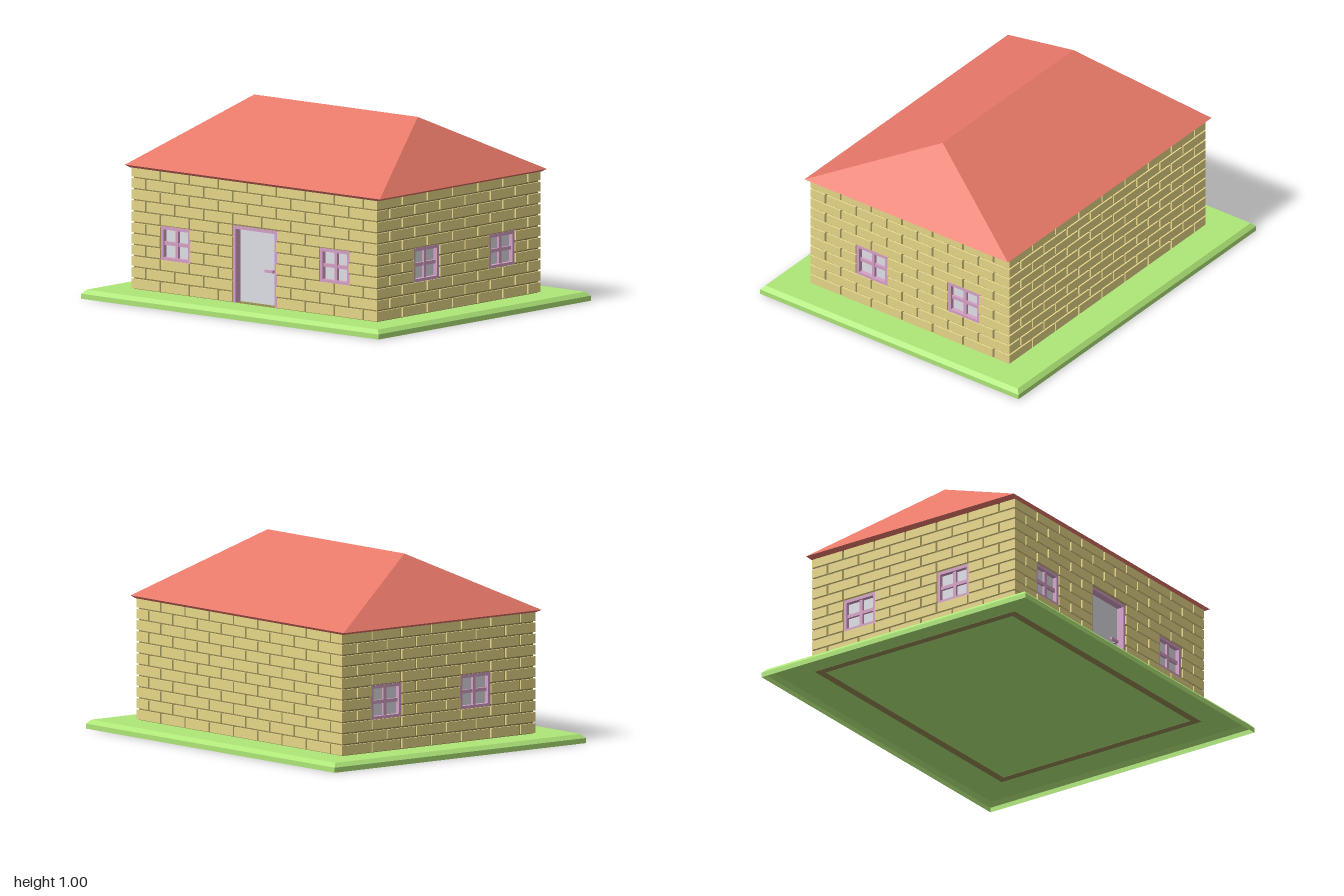
import * as THREE from 'three';
import { mergeGeometries } from 'three/addons/utils/BufferGeometryUtils.js';

const mat = (name, color) => {
  const m = new THREE.MeshStandardMaterial({ color });
  m.name = name;
  return m;
};

// Flat-sided shape through rectangular sections [halfX, halfZ, y], with a top and an optional bottom
function loft(sections, closedBottom) {
  const rings = sections.map(([x, z, y]) =>
    [[-x, y, z], [x, y, z], [x, y, -z], [-x, y, -z]]);
  const pos = [];
  const quad = (a, b, c, d) => pos.push(...a, ...b, ...c, ...a, ...c, ...d);
  for (let i = 0; i < rings.length - 1; i++) {
    for (let k = 0; k < 4; k++) {
      const n = (k + 1) % 4;
      quad(rings[i][k], rings[i][n], rings[i + 1][n], rings[i + 1][k]);
    }
  }
  const lo = rings[0], hi = rings[rings.length - 1];
  if (closedBottom) quad(lo[3], lo[2], lo[1], lo[0]);
  quad(hi[0], hi[1], hi[2], hi[3]);
  const g = new THREE.BufferGeometry();
  g.setAttribute('position', new THREE.Float32BufferAttribute(pos, 3));
  g.computeVertexNormals();
  return g;
}

// Box from its x, y and z ranges
const span = (x0, x1, y0, y1, z0, z1) =>
  new THREE.BoxGeometry(x1 - x0, y1 - y0, z1 - z0)
    .translate((x0 + x1) / 2, (y0 + y1) / 2, (z0 + z1) / 2);

const BASE = 0.047, ROWS = 11, ROW = 0.0575, BRICK = 0.195, GAP = 0.011;
const HALF_X = 0.827, HALF_Z = 0.635;
const windowAt = x => ({ kind: 'window', x0: x - 0.1, x1: x + 0.1, y0: 0.214, y1: 0.391 });
const doorway = { kind: 'door', x0: -0.15, x1: 0.147, y0: BASE, y1: 0.445 };

// Running-bond bricks, cut short where they meet an opening
function brickGeometry(half, openings) {
  const parts = [];
  for (let r = 0; r < ROWS; r++) {
    const y0 = BASE + r * ROW + GAP * 0.4, y1 = BASE + (r + 1) * ROW - GAP * 0.4;
    const cuts = openings.filter(o => Math.min(o.y1, y1) - Math.max(o.y0, y0) > 0.015);
    for (let x = -half - (r % 2 ? BRICK / 2 : 0); x < half; x += BRICK) {
      const left = x <= -half ? -half : x + GAP / 2;
      const right = x + BRICK >= half ? half : x + BRICK - GAP / 2;
      let pieces = [[left, right]];
      for (const o of cuts) {
        pieces = pieces.flatMap(([a, b]) => (b <= o.x0 || a >= o.x1)
          ? [[a, b]] : [[a, o.x0], [o.x1, b]]);
      }
      for (const [a, b] of pieces) {
        if (b - a > 0.006) parts.push(span(a, b, y0, y1, -0.022, 0));
      }
    }
  }
  return mergeGeometries(parts);
}

// Recessed backing wall with holes for the openings
function mortarGeometry(half, openings) {
  const rect = (S, x0, x1, y0, y1) => new S([[x0, y0], [x1, y0], [x1, y1], [x0, y1]]
    .map(p => new THREE.Vector2(...p)));
  const shape = rect(THREE.Shape, -half + 0.01, half - 0.01, 0.046, 0.68);
  for (const o of openings) {
    shape.holes.push(rect(THREE.Path, o.x0, o.x1, Math.max(o.y0, 0.05), o.y1));
  }
  return new THREE.ExtrudeGeometry(shape, { depth: 0.04, bevelEnabled: false }).translate(0, 0, -0.05);
}

// Surround of an opening; doors have no sill
function frameGeometry({ kind, x0, x1, y0, y1 }) {
  const t = 0.017, back = -0.06, front = -0.007;
  const parts = [
    span(x0, x0 + t, y0, y1, back, front),
    span(x1 - t, x1, y0, y1, back, front),
    span(x0 + t, x1 - t, y1 - t, y1, back, front),
  ];
  if (kind === 'window') {
    const cx = (x0 + x1) / 2, cy = (y0 + y1) / 2, b = 0.009;
    parts.push(span(x0 + t, x1 - t, y0, y0 + t, back, front));
    parts.push(span(cx - b, cx + b, y0 + t, y1 - t, -0.04, -0.016));
    parts.push(span(x0 + t, x1 - t, cy - b, cy + b, -0.04, -0.017));
  }
  return mergeGeometries(parts);
}

export function createModel() {
  const brick = mat('sand brick', 0xe6d688);
  const mortar = mat('dark mortar', 0x968a54);
  const roofRed = mat('roof red', 0xea7a6a);
  const grass = mat('grass green', 0xaee677);
  grass.side = THREE.DoubleSide;
  const trim = mat('mauve trim', 0xd6a0c6);
  const pane = mat('pale grey', 0xdedee6);

  const model = new THREE.Group();
  model.name = 'house';
  const add = (parent, name, geometry, material) => {
    const m = new THREE.Mesh(geometry, material);
    m.name = name;
    parent.add(m);
  };

  // Lawn shell with bevelled top edge and open underside, and hipped roof with sloped eaves
  add(model, 'lawn', loft([[1, 0.825, 0], [1, 0.825, 0.026], [0.98, 0.805, 0.047]], false), grass);
  add(model, 'roof', loft([[0.833, 0.636, 0.672], [0.857, 0.65, 0.685], [0.55, 0, 1]], true), roofRed);

  // Four walls, each built facing +z and turned into place
  const walls = [
    { name: 'frontWall', half: HALF_X, out: HALF_Z, turn: 0, openings: [windowAt(-0.535), doorway, windowAt(0.535)] },
    { name: 'leftWall', half: HALF_Z, out: HALF_X, turn: 1, openings: [windowAt(-0.245), windowAt(0.34)] },
    { name: 'backWall', half: HALF_X, out: HALF_Z, turn: 2, openings: [] },
    { name: 'rightWall', half: HALF_Z, out: HALF_X, turn: 3, openings: [windowAt(-0.34), windowAt(0.245)] },
  ];
  for (const { name, half, out, turn, openings } of walls) {
    const wall = new THREE.Group();
    wall.name = name;
    wall.rotation.y = turn * Math.PI / 2;
    wall.position.set(out * Math.sin(wall.rotation.y), 0, out * Math.cos(wall.rotation.y));
    add(wall, 'bricks', brickGeometry(half, openings), brick);
    add(wall, 'mortar', mortarGeometry(half, openings), mortar);
    for (const o of openings) {
      add(wall, o.kind + 'Frame', frameGeometry(o), trim);
      const isDoor = o.kind === 'door', z = isDoor ? -0.045 : -0.03;
      add(wall, isDoor ? 'doorPanel' : 'windowGlass',
        span(o.x0 + 0.01, o.x1 - 0.01, o.y0 + 0.005, o.y1 - 0.01, z - 0.008, z), pane);
      // Lever handle
      if (isDoor) add(wall, 'doorHandle', mergeGeometries([
        span(0.05, 0.106, 0.221, 0.235, -0.03, -0.02),
        span(0.094, 0.106, 0.221, 0.235, -0.046, -0.03),
      ]), trim);
    }
    model.add(wall);
  }
  return model;
}
